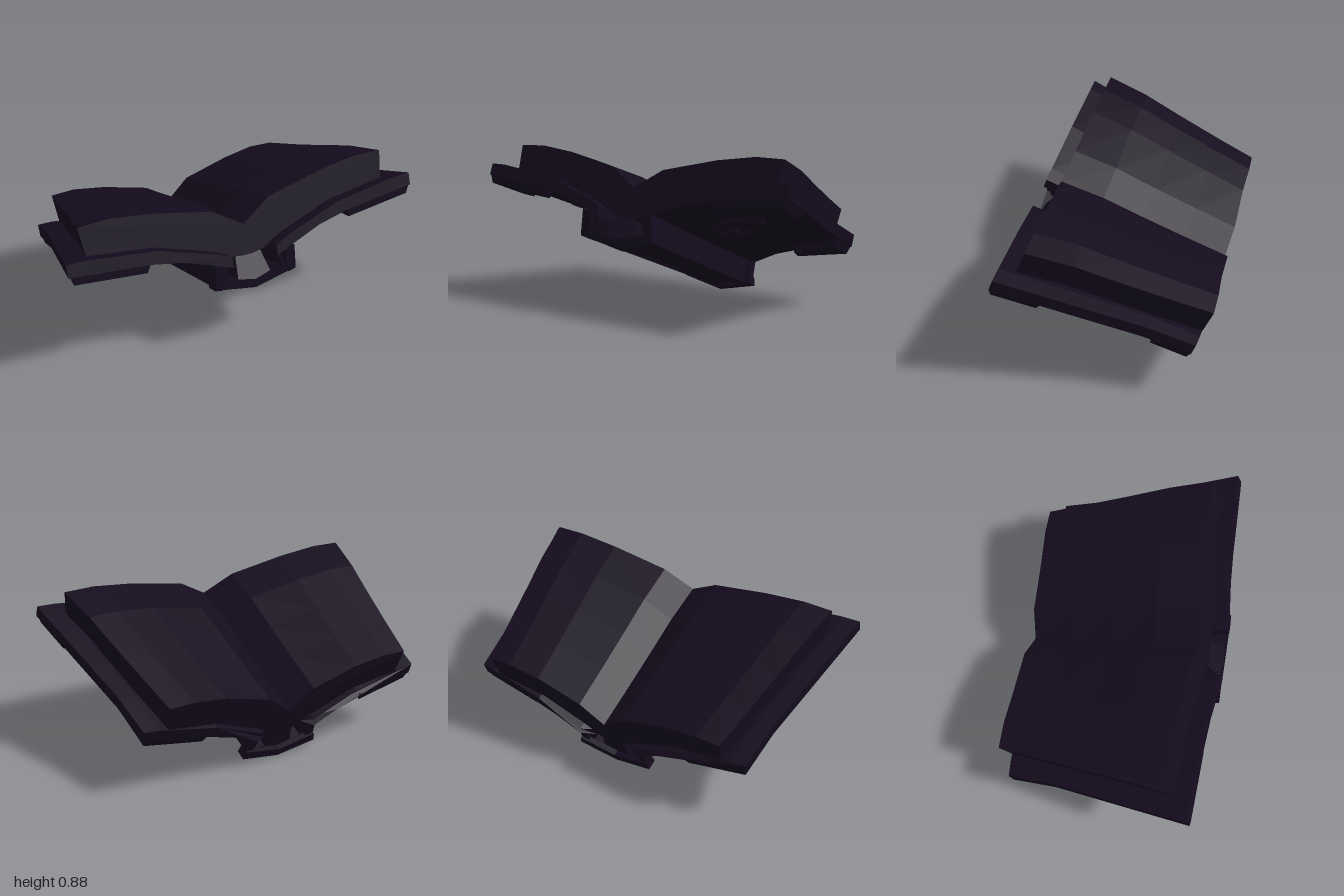
import * as THREE from 'three';

const material = new THREE.MeshStandardMaterial({ color: 0x140b1d, flatShading: true, side: THREE.DoubleSide });

// The book is modelled lying flat (x across, y thickness, z along the spine), then tilted.
const FRONT = 0.72;
// The boards narrow towards the back, then run almost parallel
const taper = (z) => (z > -0.12 ? 1 - 0.15 * (FRONT - z) / 0.84 : 0.85 + 0.06 * (z + 0.12));
const pageTaper = (z) => 0.803 + 0.188 * (z + 0.346);
const straight = () => 1;
const coverBack = (x) => (Math.abs(x) < 0.2 ? -0.36 : -0.425 + 0.095 * Math.min(1, Math.abs(x)));
const pageBack = (x) => -0.378 + 0.032 * Math.min(1, Math.abs(x) * 2);

// Underside and top of the cover, as [x, y]
const COVER_UNDER = [[0.13, 0.3], [0.22, 0.335], [0.4, 0.4], [0.57, 0.435], [1, 0.48]];
const COVER_UPPER = [[1, 0.548], [0.9, 0.545], [0.52, 0.495], [0.2, 0.39], [0.13, 0.355]];

function underside(x) {
  const a = Math.min(Math.abs(x), 1);
  const i = COVER_UNDER.findIndex(([px], n) => n > 0 && a <= px);
  const [x0, y0] = COVER_UNDER[i - 1], [x1, y1] = COVER_UNDER[i];
  return y0 + (y1 - y0) * (a - x0) / (x1 - x0);
}

const mirror = (pts, side) => pts.map(([x, y]) => [x * side, y]);
// Closes a half profile across x = 0
const symmetric = (half) => [...half, ...mirror(half, -1).reverse().filter(([x]) => Math.abs(x) > 1e-6)];
const shapeOf = (pts) => new THREE.Shape(pts.map(([x, y]) => new THREE.Vector2(x, y)));

function warp(geometry, rule) {
  const p = geometry.attributes.position;
  for (let i = 0; i < p.count; i++) p.setXYZ(i, ...rule(p.getX(i), p.getY(i), p.getZ(i)));
  geometry.computeVertexNormals();
  return geometry;
}

function add(parent, name, geometry) {
  const mesh = new THREE.Mesh(geometry, material);
  mesh.name = name;
  parent.add(mesh);
}

// Section in x/y run along the spine; back depends on x, front on y, rise lifts along the length
function along(pts, back, front, { narrow = taper, rise = () => 0 } = {}) {
  const geometry = new THREE.ExtrudeGeometry(shapeOf(pts), { depth: 1, steps: 4, bevelEnabled: false });
  return warp(geometry, (x, y, t) => {
    const z = THREE.MathUtils.lerp(back(x), front(y), t);
    return [x * narrow(z), y + rise(t), z];
  });
}

// Outline in x/z laid as a raised plate on the underside of the cover
function plate(pts, height, shrink) {
  const cx = pts.reduce((s, p) => s + p[0], 0) / pts.length;
  const cz = pts.reduce((s, p) => s + p[1], 0) / pts.length;
  const outline = shapeOf(pts.map(([x, z]) => [x, -z]));
  const geometry = new THREE.ExtrudeGeometry(outline, { depth: 1, bevelEnabled: false });
  return warp(geometry, (x, y, t) => {
    const k = 1 - shrink * (1 - t);
    const px = cx + (x - cx) * k, pz = cz + (-y - cz) * k;
    return [px * taper(pz), underside(px) - height * (1 - t) + 0.012 * t, pz];
  });
}

export function createModel() {
  const model = new THREE.Group();
  model.name = 'openBook';
  const book = new THREE.Group();
  book.name = 'tiltedBook';
  book.rotation.x = -0.366;
  model.add(book);

  // Page block: two swelling halves meeting in a valley
  const pages = [[0, 0.32], [0.1, 0.335], [0.2, 0.385], [0.52, 0.49], [0.88, 0.542],
    [0.897, 0.692], [0.73, 0.697], [0.5, 0.668], [0.17, 0.598], [0, 0.491]];
  add(book, 'pageBlock', along(symmetric(pages), pageBack, () => 0.633,
    { narrow: pageTaper, rise: (t) => 0.016 * Math.sin(Math.PI * t ** 3) }));

  // Raised corner guards, L-shaped around each outer corner
  const guards = {
    FrontCorner: [[0.57, 0.72], [0.995, 0.72], [0.995, 0.46], [0.9, 0.46], [0.87, 0.57], [0.6, 0.6]],
    BackCorner: [[0.57, -0.37], [0.995, -0.33], [0.995, -0.11], [0.9, -0.12], [0.87, -0.22], [0.6, -0.26]],
  };
  // Raised bars decorating each board
  const bars = {
    left: [[[0.3, 0.26], [0.45, 0.38], [0.68, 0.41], [0.68, 0.37], [0.46, 0.34], [0.32, 0.23]],
      [[0.58, 0.26], [0.7, 0.36], [0.7, 0.31], [0.6, 0.23]],
      [[0.33, 0.2], [0.47, 0.22], [0.47, 0.17], [0.36, 0.16]],
      [[0.4, 0.1], [0.5, 0.16], [0.5, 0.12], [0.42, 0.07]]],
    right: [[[0.64, 0.3], [0.77, 0.3], [0.77, 0.24], [0.64, 0.24]],
      [[0.48, 0.37], [0.61, 0.38], [0.61, 0.33], [0.48, 0.33]],
      [[0.34, 0.23], [0.47, 0.3], [0.47, 0.25], [0.34, 0.18]]],
  };

  for (const [hand, side] of [['left', 1], ['right', -1]]) {
    // Cover board
    add(book, hand + 'Cover', along(mirror([...COVER_UNDER, ...COVER_UPPER], side), coverBack, () => FRONT));
    for (const [name, pts] of Object.entries(guards)) {
      add(book, hand + name, plate(mirror(pts, side), 0.042, 0.1));
    }
    for (const pts of bars[hand]) add(book, hand + 'CoverBar', plate(mirror(pts, side), 0.02, 0.1));

    // Slanted walls joining the spine to the cover, thicker at both ends
    const wall = [[0.19, 0.185], [0.228, 0.2], [0.222, 0.335], [0.14, 0.31]];
    add(book, hand + 'SpineWall', along(mirror(wall, side), () => -0.36, (y) => 0.64 + 0.3 * (y - 0.15)));
    const rib = [[0.2, 0.185], [0.243, 0.195], [0.232, 0.335], [0.17, 0.315]];
    add(book, hand + 'FrontRib', along(mirror(rib, side), () => 0.6, (y) => 0.67 + 0.3 * (y - 0.15)));
    add(book, hand + 'BackRib', along(mirror(rib, side), () => -0.38, () => -0.33, { narrow: () => 0.9 }));
  }

  // Shallow V-shaped spine plate, a groove and a cap at each end
  const spine = [[0, 0.157], [0.225, 0.2], [0.225, 0.235], [0, 0.2]];
  add(book, 'spinePlate', along(symmetric(spine), () => -0.29, () => 0.56,
    { rise: (t) => 0.016 * Math.sin(Math.PI * t) }));
  const groove = [[0, 0.175], [0.215, 0.212], [0.215, 0.235], [0, 0.205]];
  add(book, 'spineGroove', along(symmetric(groove), () => -0.36, () => 0.65));
  const cap = [[0, 0.148], [0.228, 0.195], [0.215, 0.245], [0, 0.195]];
  add(book, 'frontSpineCap', along(symmetric(cap), () => 0.6, (y) => 0.668 + 0.3 * (y - 0.15), { narrow: straight }));
  add(book, 'backSpineCap', along(symmetric(cap), () => -0.392, () => -0.33, { narrow: straight }));

  // Binding block between the spine and the pages, sloping back at its front
  const binding = [[0, 0.19], [0.1, 0.2], [0.075, 0.335], [0, 0.325]];
  add(book, 'bindingBlock', along(symmetric(binding), () => -0.36, (y) => 0.68 - 0.35 * (y - 0.19)));

  return model;
}
